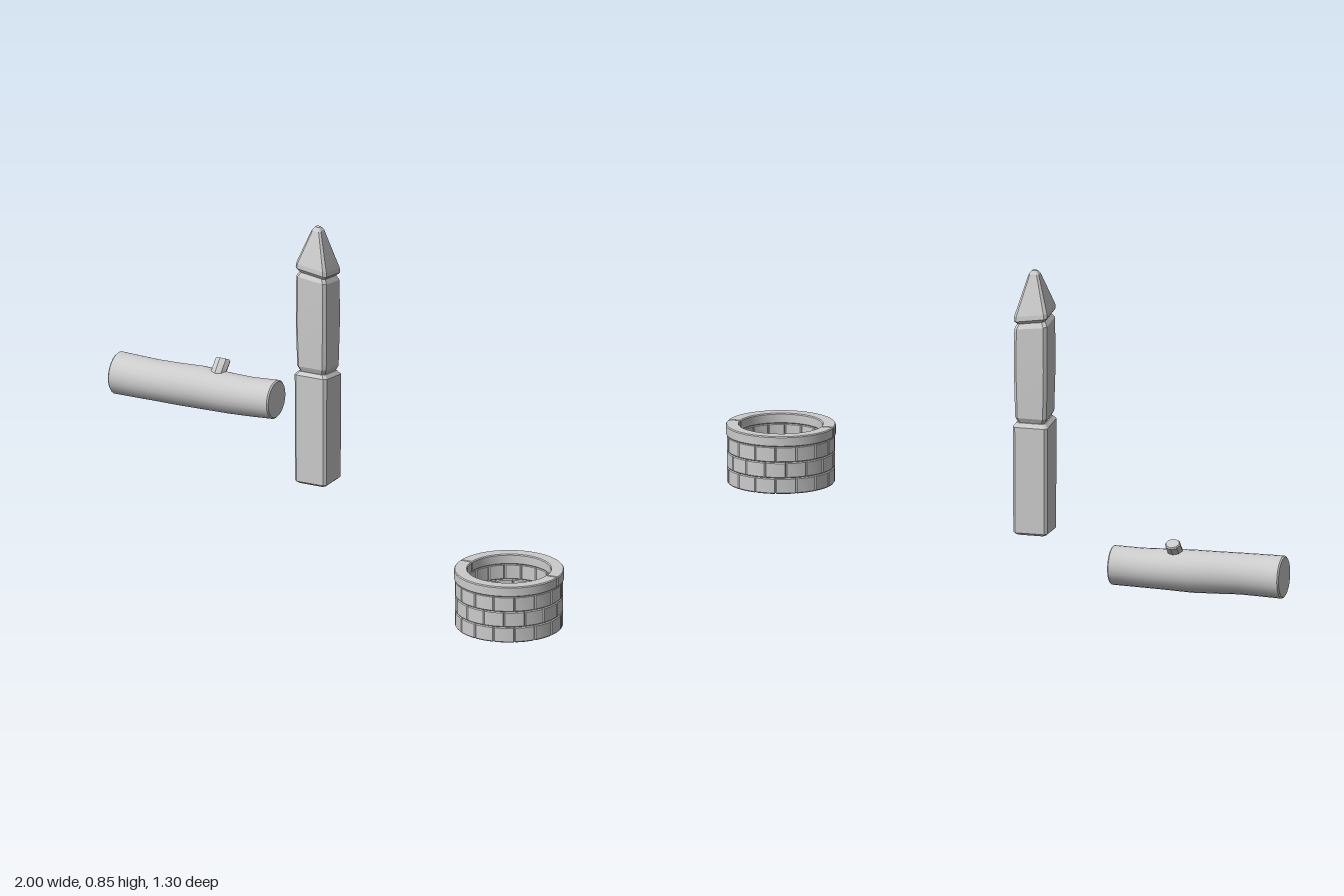
import * as THREE from 'three';
import { toCreasedNormals } from 'three/addons/utils/BufferGeometryUtils.js';

const material = new THREE.MeshStandardMaterial({ color: 0xcccccc });
const V = (x, y, z) => new THREE.Vector3(x, y, z);

function addMesh(parent, name, geometry) {
  const mesh = new THREE.Mesh(geometry, material);
  mesh.name = name;
  parent.add(mesh);
  return mesh;
}

// Skin a list of equal-length rings and close both ends
function loft(rings, crease) {
  const n = rings[0].length, positions = [], index = [];
  rings.forEach(ring => ring.forEach(p => positions.push(p.x, p.y, p.z)));
  for (let r = 0; r < rings.length - 1; r++) {
    for (let i = 0; i < n; i++) {
      const a = r * n + i, b = r * n + (i + 1) % n;
      index.push(a, b, b + n, a, b + n, a + n);
    }
  }
  [0, rings.length - 1].forEach((r, end) => {
    const c = rings[r].reduce((s, p) => s.add(p), V(0, 0, 0)).divideScalar(n);
    const centre = positions.length / 3;
    positions.push(c.x, c.y, c.z);
    for (let i = 0; i < n; i++) {
      const a = r * n + i, b = r * n + (i + 1) % n;
      if (end) index.push(centre, a, b);
      else index.push(centre, b, a);
    }
  });
  const g = new THREE.BufferGeometry();
  g.setAttribute('position', new THREE.Float32BufferAttribute(positions, 3));
  g.setIndex(index);
  return toCreasedNormals(g, crease);
}

// Circle around an axis; u is perpendicular to the axis
function circle(centre, axis, u, radius, sides) {
  const v = axis.clone().cross(u);
  return Array.from({ length: sides }, (_, i) => {
    const a = (i / sides) * Math.PI * 2;
    return centre.clone().addScaledVector(u, Math.cos(a) * radius).addScaledVector(v, Math.sin(a) * radius);
  });
}

// Square with cut corners, in a plane tilted along x and z
function square(y, half, cut, tiltX = 0, tiltZ = 0) {
  const h = half, k = half - cut;
  return [[h, -k], [h, k], [k, h], [-k, h], [-h, k], [-h, -k], [-k, -h], [k, -h]]
    .map(([x, d]) => V(x, y + tiltX * x - tiltZ * d, -d));
}

// Arc-shaped block with chamfered corners and edges
function arcBlock(inner, outer, start, end, height, segments, bevel) {
  const shape = new THREE.Shape();
  const pts = [];
  const put = (r, a) => pts.push(new THREE.Vector2(r * Math.cos(a), r * Math.sin(a)));
  const side = (r, chamferR, from, to) => {
    const d = Math.sign(to - from) * bevel / r;
    put(chamferR, from);
    for (let i = 0; i <= segments; i++) put(r, from + d + (to - from - 2 * d) * i / segments);
    put(chamferR, to);
  };
  side(outer, outer - bevel, start, end);
  side(inner, inner + bevel, end, start);
  shape.setFromPoints(pts);
  const g = new THREE.ExtrudeGeometry(shape, {
    depth: height - 2 * bevel, bevelEnabled: true, bevelThickness: bevel,
    bevelSize: bevel * 0.8, bevelOffset: -bevel * 0.8, bevelSegments: 1
  });
  g.rotateX(-Math.PI / 2).translate(0, bevel, 0);
  return toCreasedNormals(g, 0.35);
}

function createWell() {
  const well = new THREE.Group();
  well.name = 'well';
  const count = 16, step = Math.PI * 2 / count, course = 0.0465;
  const brick = arcBlock(0.122, 0.1555, -step / 2, step / 2, course, 2, 0.003);
  // Three courses, the middle one shifted by half a brick
  for (let row = 0; row < 3; row++) {
    for (let i = 0; i < count; i++) {
      const b = addMesh(well, 'brick', brick);
      b.position.y = row * course;
      b.rotation.y = (i + (row % 2) / 2) * step;
    }
  }
  // Coping in two halves
  const half = arcBlock(0.12, 0.158, 0.004, Math.PI - 0.004, 0.031, 24, 0.003);
  for (let i = 0; i < 2; i++) {
    const c = addMesh(well, 'coping', half);
    c.position.y = 3 * course;
    c.rotation.y = i * Math.PI;
  }
  well.position.set(0.84, 0, 0.49);
  return well;
}

function createPillar() {
  const pillar = new THREE.Group();
  pillar.name = 'pillar';
  addMesh(pillar, 'lowerBlock', loft([
    square(0.073, 0.043, 0.007),
    square(0.08, 0.051, 0.008),
    square(0.398, 0.052, 0.008, 0, 0.12),
    square(0.409, 0.043, 0.007, 0, 0.12)
  ], 0.2));
  addMesh(pillar, 'middleBlock', loft([
    square(0.409, 0.04, 0.008, 0, 0.12),
    square(0.424, 0.047, 0.009, 0, 0.12),
    square(0.56, 0.05, 0.009),
    square(0.692, 0.049, 0.009, -0.12, 0.13),
    square(0.706, 0.041, 0.008, -0.12, 0.13)
  ], 0.2));
  addMesh(pillar, 'pointedTop', loft([
    square(0.706, 0.042, 0.007, -0.15, 0.13),
    square(0.716, 0.05, 0.008, -0.15, 0.13),
    square(0.73, 0.049, 0.008, -0.15, 0.13),
    square(0.838, 0.015, 0.005),
    square(0.848, 0.007, 0.003)
  ], 0.2));
  pillar.position.set(-0.116, 0, -0.146);
  return pillar;
}

function createLog() {
  const log = new THREE.Group();
  log.name = 'log';
  // Trunk stations: x, y, z, radius
  const stations = [
    [-1, 0.111, -0.588, 0.058], [-0.996, 0.111, -0.588, 0.062], [-0.93, 0.111, -0.585, 0.061],
    [-0.87, 0.111, -0.583, 0.06], [-0.8, 0.11, -0.587, 0.061], [-0.73, 0.11, -0.592, 0.062],
    [-0.64, 0.109, -0.589, 0.059], [-0.57, 0.109, -0.591, 0.057], [-0.491, 0.112, -0.596, 0.057],
    [-0.487, 0.112, -0.596, 0.053]
  ];
  const along = V(1, 0, 0);
  addMesh(log, 'trunk', loft(stations.map(([x, y, z, r]) =>
    circle(V(x, y, z), along, V(0, 0, -1), r, 24)), 0.5));
  // Cut branch leaning back: y, z, lean angle, radius
  const branch = [
    [0.13, -0.59, 0.1, 0.025], [0.165, -0.597, 0.3, 0.023],
    [0.192, -0.623, 0.46, 0.023], [0.196, -0.625, 0.46, 0.02]
  ];
  addMesh(log, 'branchStub', loft(branch.map(([y, z, lean, r]) =>
    circle(V(-0.676, y, z), V(0, Math.cos(lean), -Math.sin(lean)), along, r, 8)), 0.5));
  return log;
}

export function createModel() {
  const model = new THREE.Group();
  model.name = 'stoneAndWoodProps';
  model.add(createWell(), createPillar(), createLog());
  return model;
}
